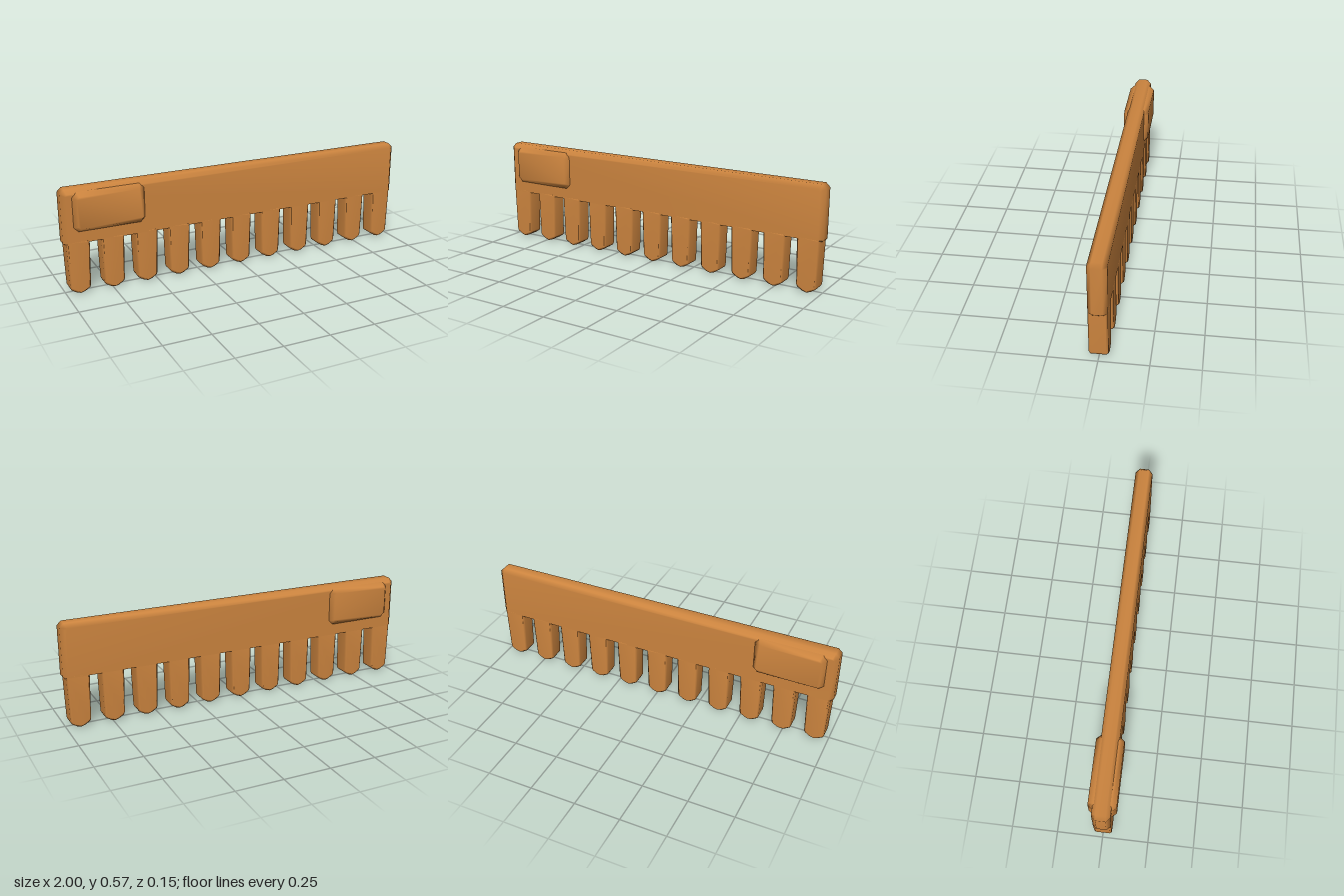
import * as THREE from 'three';
import { mergeVertices } from 'three/addons/utils/BufferGeometryUtils.js';

const material = new THREE.MeshStandardMaterial({ color: 0xcd853f });

// Plate with a single bevel towards both faces; points outline its widest section, counter-clockwise
function bevelledPlate(points, halfDepth, bevel, bevelDepth) {
  const shape = new THREE.Shape(points.map(([x, y]) => new THREE.Vector2(x, y)));
  const geo = new THREE.ExtrudeGeometry(shape, {
    depth: 2 * (halfDepth - bevelDepth),
    bevelEnabled: true,
    bevelSegments: 1,
    bevelSize: bevel,
    bevelOffset: -bevel,
    bevelThickness: bevelDepth,
  });
  geo.translate(0, 0, bevelDepth - halfDepth);
  return geo;
}

// Shared vertices give softly shaded bevels
function smooth(geo) {
  geo.deleteAttribute('uv');
  geo.deleteAttribute('normal');
  const merged = mergeVertices(geo, 1e-4);
  merged.computeVertexNormals();
  return merged;
}

// Rectangle with cut corners: c at the bottom, d at the top
function cutRect(x0, x1, y0, y1, c, d) {
  return [
    [x0 + c, y0], [x1 - c, y0], [x1, y0 + c], [x1, y1 - d],
    [x1 - d, y1], [x0 + d, y1], [x0, y1 - d], [x0, y0 + c],
  ];
}

export function createModel() {
  const group = new THREE.Group();
  group.name = 'comb';
  const add = (geo, name) => {
    const mesh = new THREE.Mesh(smooth(geo), material);
    mesh.name = name;
    group.add(mesh);
    return mesh;
  };

  // Spine, with a tighter bevel along the bottom
  const spine = bevelledPlate(cutRect(-1, 1, 0.276, 0.57, 0.008, 0.022), 0.048, 0.022, 0.022);
  const pos = spine.attributes.position;
  for (let i = 0; i < pos.count; i++) {
    const y = pos.getY(i);
    if (Math.abs(pos.getZ(i)) > 0.04 && y < 0.33) pos.setY(i, y - 0.012);
  }
  add(spine, 'spine');

  // Raised grip pad, passing through the spine to both faces
  add(bevelledPlate(cutRect(-0.945, -0.56, 0.343, 0.555, 0.025, 0.025), 0.073, 0.021, 0.026), 'gripPad');

  // Tapered teeth with blunt rounded tips
  const half = [[0, 0], [0.022, 0.006], [0.05, 0.024], [0.055, 0.036], [0.062, 0.28], [0.058, 0.296]];
  const outline = [
    ...half,
    ...half.slice(1).reverse().map(([x, y]) => [-x, y]),
  ];
  const count = 11;
  for (let i = 0; i < count; i++) {
    const tooth = add(bevelledPlate(outline, 0.048, 0.008, 0.01), `tooth${i + 1}`);
    tooth.position.x = (i - (count - 1) / 2) * 0.185;
  }

  return group;
}
